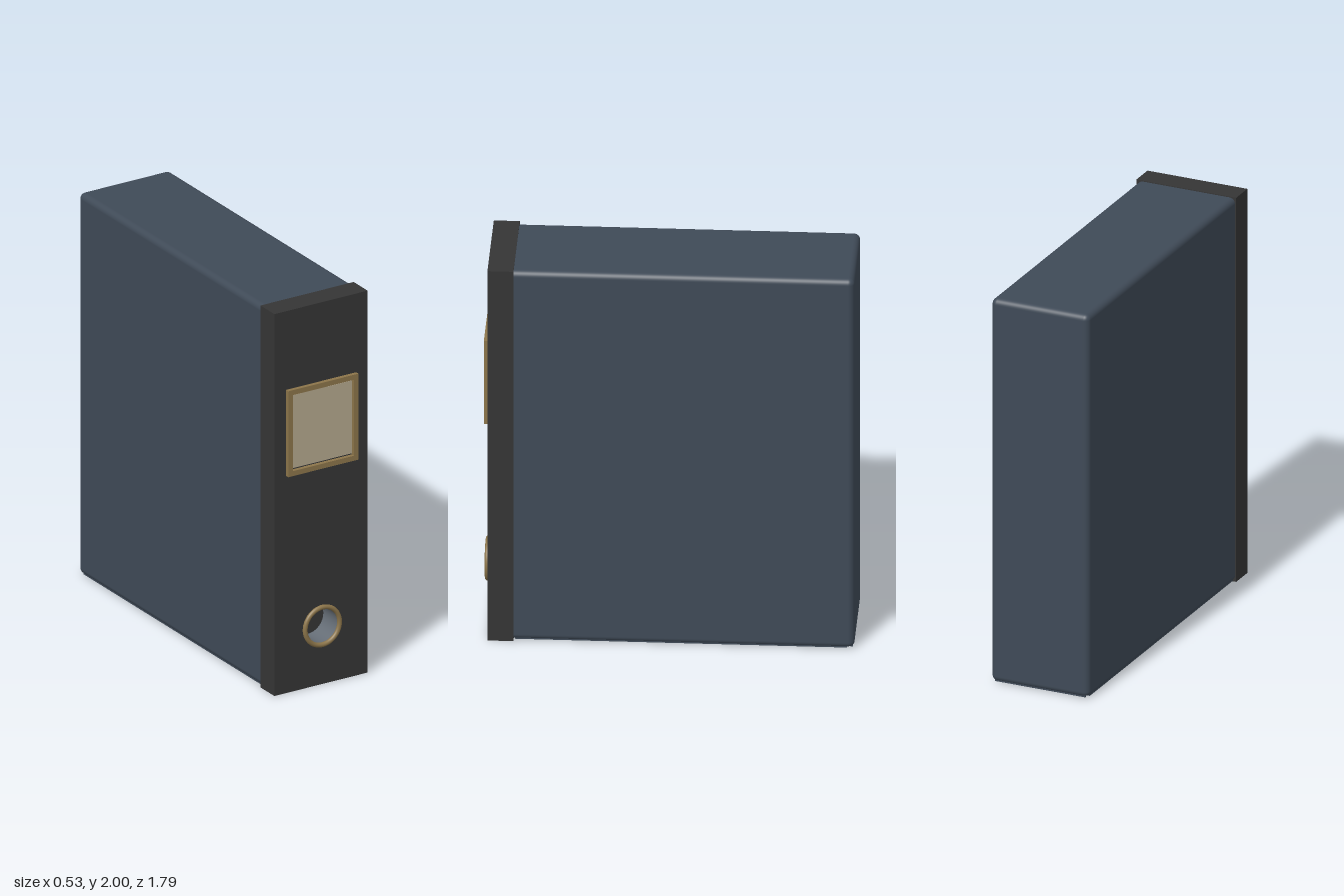
import * as THREE from 'three';
import { RoundedBoxGeometry } from 'three/addons/geometries/RoundedBoxGeometry.js';

function material(name, color, side = THREE.FrontSide) {
  const m = new THREE.MeshStandardMaterial({ color, side });
  m.name = name;
  return m;
}

function rectangle(target, x0, y0, x1, y1) {
  target.moveTo(x0, y0);
  target.lineTo(x1, y0);
  target.lineTo(x1, y1);
  target.lineTo(x0, y1);
  target.closePath();
  return target;
}

export function createModel() {
  const group = new THREE.Group();
  group.name = 'boxFile';

  const slate = material('slateBlue', 0x3f4a57, THREE.DoubleSide);
  const charcoal = material('charcoal', 0x353535);
  const brass = material('brass', 0x8c754a);
  const paper = material('paper', 0xb5a88e);
  const steel = material('steel', 0x656d76, THREE.DoubleSide);

  function add(name, geometry, mat, x = 0, y = 0, z = 0) {
    const mesh = new THREE.Mesh(geometry, mat);
    mesh.name = name;
    mesh.position.set(x, y, z);
    group.add(mesh);
    return mesh;
  }

  // Thin rounded case, open underneath and towards the spine
  const back = -0.895, caseFront = 0.79;
  const rounded = new RoundedBoxGeometry(0.52, 1.992, caseFront - back, 4, 0.03);
  const faces = rounded.groups.filter((g) => g.materialIndex !== 3 && g.materialIndex !== 4);
  rounded.clearGroups();
  faces.forEach((g) => rounded.addGroup(g.start, g.count, 0));
  add('case', rounded, [slate], 0, 1, (back + caseFront) / 2);

  // Rounded lip along the open bottom edges
  for (const s of [-1, 1]) {
    add('bottomLip', new THREE.BoxGeometry(0.012, 0.008, 1.6), slate, s * 0.246, 0.01, -0.06);
  }
  add('bottomLip', new THREE.BoxGeometry(0.48, 0.008, 0.012), slate, 0, 0.01, back + 0.014);

  // Spine with a round finger hole
  const holeY = 0.31;
  const spine = rectangle(new THREE.Shape(), -0.266, 0, 0.266, 2);
  spine.holes.push(new THREE.Path().absarc(0, holeY, 0.09, 0, Math.PI * 2, true));
  add('spine', new THREE.ExtrudeGeometry(spine, { depth: 0.125, bevelEnabled: false, curveSegments: 32 }),
    charcoal, 0, 0, 0.747);

  // Finger hole lining, floor and brass ring
  const lining = new THREE.CylinderGeometry(0.089, 0.089, 0.125, 48, 1, true).rotateX(Math.PI / 2);
  add('fingerHoleLining', lining, steel, 0, holeY, 0.815);
  const floor = new THREE.CylinderGeometry(0.098, 0.098, 0.02, 48).rotateX(Math.PI / 2);
  add('fingerHoleFloor', floor, charcoal, 0, holeY, 0.743);
  add('fingerHoleRing', new THREE.TorusGeometry(0.098, 0.012, 12, 64), brass, 0, holeY, 0.884);

  // Label holder: brass frame around a paper card
  const frame = rectangle(new THREE.Shape(), -0.2, 1.138, 0.2, 1.588);
  frame.holes.push(rectangle(new THREE.Path(), -0.174, 1.164, 0.174, 1.562));
  add('labelFrame', new THREE.ExtrudeGeometry(frame, { depth: 0.022, bevelEnabled: false }),
    brass, 0, 0, 0.871);
  add('labelCard', new THREE.BoxGeometry(0.344, 0.382, 0.006), paper, 0, 1.363, 0.875);

  return group;
}
